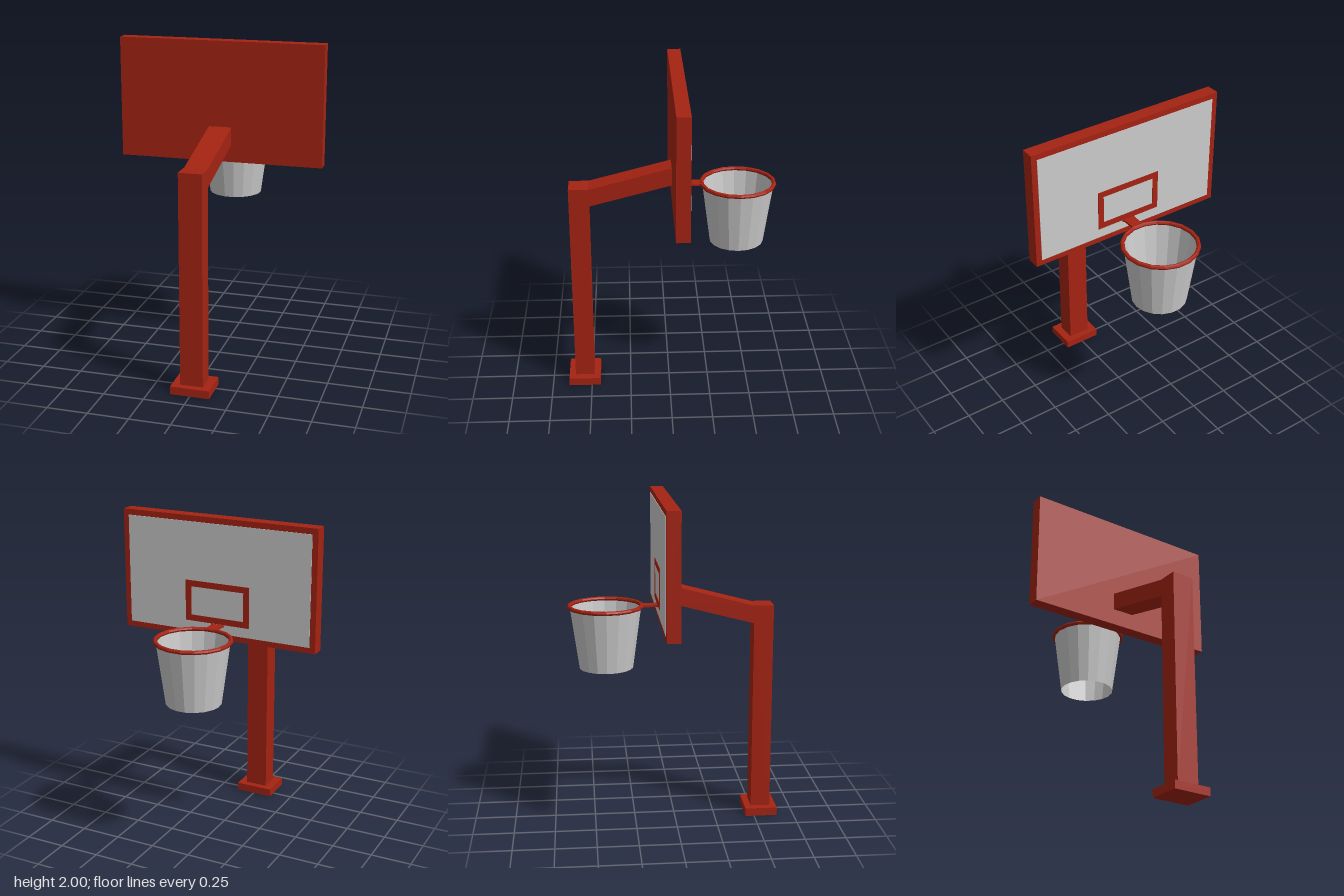
import * as THREE from 'three';

export function createModel() {
  const group = new THREE.Group();
  const red = new THREE.MeshStandardMaterial({ color: 0xa52312, flatShading: true });
  const grey = new THREE.MeshStandardMaterial({ color: 0xcccccc, flatShading: true });
  const greyOpen = new THREE.MeshStandardMaterial({ color: 0xcccccc, flatShading: true, side: THREE.DoubleSide });

  const add = (name, geometry, material) => {
    const mesh = new THREE.Mesh(geometry, material);
    mesh.name = name;
    group.add(mesh);
    return mesh;
  };
  // Box given by its lower and upper corners
  const box = (name, a, b, material) => add(name,
    new THREE.BoxGeometry(b[0] - a[0], b[1] - a[1], b[2] - a[2])
      .translate((a[0] + b[0]) / 2, (a[1] + b[1]) / 2, (a[2] + b[2]) / 2), material);
  const polygon = points => new THREE.Shape(points.map(p => new THREE.Vector2(...p)));
  const rect = (x0, y0, x1, y1) => [[x0, y0], [x1, y0], [x1, y1], [x0, y1]];

  // Base and bent post, the post drawn as a (z, y) profile
  box('base', [-0.12, 0, 0.445], [0.12, 0.05, 0.645], red);
  const post = polygon([
    [0.605, 0.05], [0.605, 1.35], [0.485, 1.35], [-0.014, 1.48],
    [-0.014, 1.37], [0.485, 1.24], [0.485, 0.05],
  ]);
  add('postAndArm', new THREE.ExtrudeGeometry(post, { depth: 0.14, bevelEnabled: false })
    .rotateY(-Math.PI / 2).translate(0.07, 0, 0), red);

  // Backboard with pale playing face
  box('backboard', [-0.63, 1.265, -0.096], [0.63, 2, -0.014], red);
  box('boardFace', [-0.595, 1.3, -0.099], [0.595, 1.965, -0.09], grey);

  // Target rectangle outline
  const target = polygon(rect(-0.21, 1.36, 0.21, 1.61));
  target.holes.push(polygon(rect(-0.173, 1.397, 0.173, 1.573)));
  add('targetOutline', new THREE.ExtrudeGeometry(target, { depth: 0.01, bevelEnabled: false })
    .translate(0, 0, -0.102), red);

  // Flat bracket, flared where it meets the board
  const bracket = polygon([
    [-0.05, -0.095], [-0.04, -0.108], [-0.04, -0.2], [0.03, -0.2], [0.03, -0.108], [0.045, -0.095],
  ]);
  add('hoopBracket', new THREE.ExtrudeGeometry(bracket, { depth: 0.012, bevelEnabled: false })
    .rotateX(Math.PI / 2).translate(0, 1.358, 0), red);

  // Hoop and open tapered net
  const hoop = new THREE.Group();
  hoop.name = 'hoop';
  hoop.position.set(-0.006, 1.352, -0.415);
  const ring = add('rim', new THREE.TorusGeometry(0.22, 0.013, 8, 18).rotateX(Math.PI / 2), red);
  const net = add('net', new THREE.CylinderGeometry(0.217, 0.165, 0.38, 18, 1, true, Math.PI / 2)
    .translate(0, -0.192, 0), greyOpen);
  hoop.add(ring, net);
  group.add(hoop);

  return group;
}
